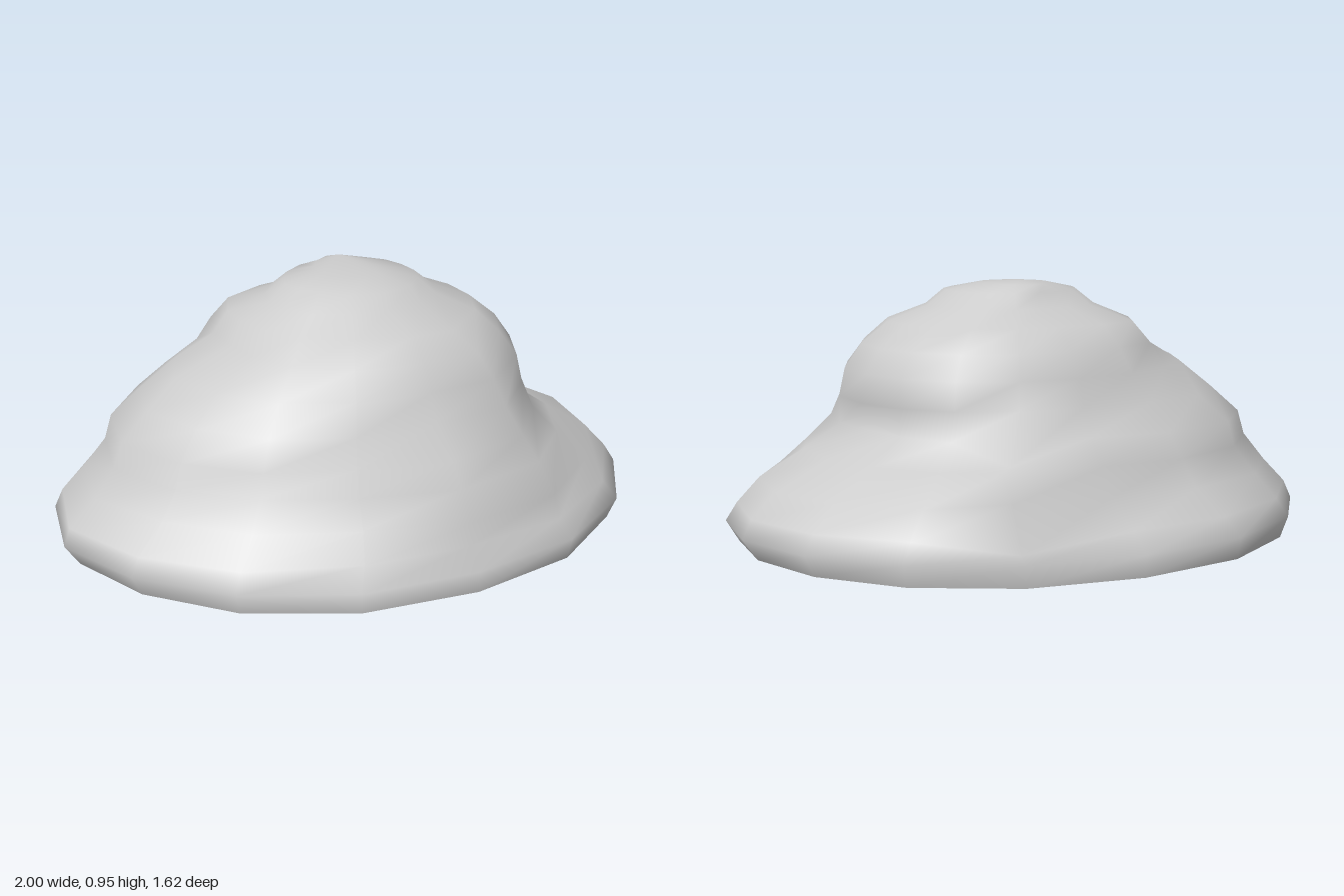
import * as THREE from 'three';
import { mergeVertices } from 'three/addons/utils/BufferGeometryUtils.js';

const SIDES = 16;
const material = new THREE.MeshStandardMaterial({ color: 0xcccccc });

// Unit direction of side k on an oval plan (starts at +x, turns towards +z)
function direction(k) {
  const a = (k / SIDES) * Math.PI * 2;
  return new THREE.Vector2(Math.cos(a), 0.805 * Math.sin(a)).normalize();
}

// Point on side k; front and back lean slightly towards +x
function ringPoint(k, r, y) {
  const d = direction(k);
  return [d.x * r + 0.035 * Math.abs(d.y), y, d.y * r];
}

// Fill in the sides between the eight measured radii with a smooth curve
function radiusAt(radii, k) {
  const n = radii.length, i = Math.floor(k / 2);
  const r = (j) => radii[(i + j + n) % n];
  return k % 2 ? (9 * (r(0) + r(1)) - r(-1) - r(2)) / 16 : r(0);
}

// Skin a stack of rings, listed from bottom to top
function skin(rings) {
  const index = [];
  for (let i = 0; i < rings.length - 1; i++) {
    for (let k = 0; k < SIDES; k++) {
      const a = i * SIDES + k, b = i * SIDES + ((k + 1) % SIDES);
      index.push(a, a + SIDES, b, b, a + SIDES, b + SIDES);
    }
  }
  const geometry = new THREE.BufferGeometry();
  geometry.setAttribute('position', new THREE.Float32BufferAttribute(rings.flat(2), 3));
  geometry.setIndex(index);
  const merged = mergeVertices(geometry, 1e-4);
  merged.computeVertexNormals();
  return merged;
}

// Height, then radii towards: right, front right, front, front left,
// left, back left, back, back right (as seen from the front)
const LEVELS = [
  [0.10, 0.95, 0.89, 0.80, 0.885, 0.95, 0.885, 0.805, 0.885],
  [0.17, 1.00, 0.92, 0.805, 0.91, 1.00, 0.91, 0.81, 0.91],
  [0.23, 0.97, 0.87, 0.74, 0.87, 0.98, 0.87, 0.74, 0.86],
  [0.31, 0.89, 0.81, 0.745, 0.77, 0.89, 0.80, 0.61, 0.77],
  [0.40, 0.71, 0.71, 0.69, 0.71, 0.82, 0.73, 0.565, 0.64],
  [0.48, 0.56, 0.63, 0.65, 0.69, 0.79, 0.71, 0.49, 0.55],
  [0.57, 0.59, 0.59, 0.55, 0.64, 0.70, 0.61, 0.45, 0.52],
  [0.66, 0.57, 0.57, 0.51, 0.56, 0.60, 0.50, 0.43, 0.51],
  [0.74, 0.52, 0.51, 0.46, 0.46, 0.40, 0.45, 0.37, 0.46],
  [0.81, 0.43, 0.43, 0.40, 0.38, 0.36, 0.39, 0.31, 0.37],
  [0.86, 0.30, 0.30, 0.26, 0.28, 0.26, 0.25, 0.19, 0.25],
  [0.91, 0.24, 0.24, 0.24, 0.22, 0.20, 0.19, 0.18, 0.20],
  [0.933, 0.13, 0.12, 0.12, 0.11, 0.09, 0.10, 0.14, 0.12],
];

// Irregular features: side -> level -> point
const FEATURES = {
  // raised corner at the back
  13: { 2: [0.43, 0.20, -0.74], 3: [0.45, 0.35, -0.72], 4: [0.45, 0.43, -0.66], 5: [0.34, 0.42, -0.52] },
  // hollow in the front, beside the left-hand ledge
  5: { 2: [-0.31, 0.23, 0.69], 3: [-0.28, 0.31, 0.63], 4: [-0.27, 0.40, 0.59], 5: [-0.26, 0.48, 0.56], 6: [-0.24, 0.57, 0.52] },
  // swelling that runs down the front to the rim
  3: {
    2: [0.41, 0.22, 0.70], 3: [0.40, 0.30, 0.68], 4: [0.37, 0.40, 0.63], 5: [0.34, 0.48, 0.58],
    6: [0.30, 0.57, 0.54], 7: [0.27, 0.66, 0.51], 8: [0.24, 0.74, 0.46], 9: [0.19, 0.80, 0.39],
  },
};

function createMound() {
  const rings = LEVELS.map(([y, ...radii], level) =>
    Array.from({ length: SIDES }, (_, k) =>
      FEATURES[k]?.[level] ?? ringPoint(k, radiusAt(radii, k), y)));
  // closing peak
  rings.push(Array.from({ length: SIDES }, () => [0.05, 0.948, -0.09]));
  const mesh = new THREE.Mesh(skin(rings), material);
  mesh.name = 'mound';
  return mesh;
}

// Shallow bowl beneath the rim
function createUnderside() {
  const edge = LEVELS[0].slice(1);
  const profile = [[0, 0], [0.28, 0.012], [0.5, 0.046], [1, 0.1]];
  const rings = profile.map(([s, y]) =>
    Array.from({ length: SIDES }, (_, k) => {
      const [x, , z] = ringPoint(k, radiusAt(edge, k), y);
      return [x * s + 0.03 * (1 - s), y, z * s];
    }));
  const mesh = new THREE.Mesh(skin(rings), material);
  mesh.name = 'underside';
  return mesh;
}

export function createModel() {
  const group = new THREE.Group();
  group.name = 'softMound';
  group.add(createMound(), createUnderside());
  return group;
}
